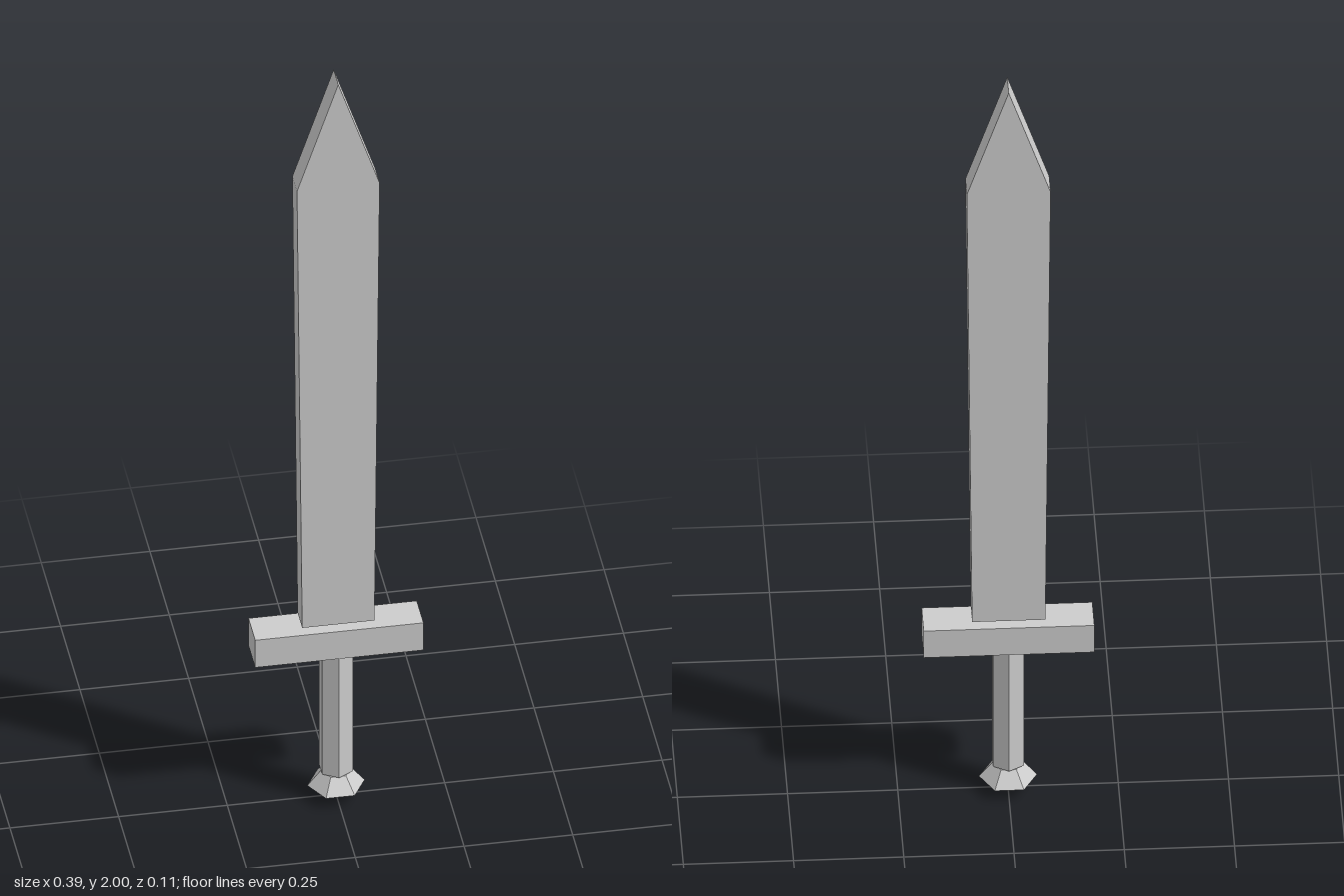
import * as THREE from 'three';

export function createModel() {
  const sword = new THREE.Group();
  sword.name = 'sword';
  const steel = new THREE.MeshStandardMaterial({ color: 0xcccccc, flatShading: true });
  steel.name = 'light grey steel';

  const add = (name, geometry, y = 0) => {
    const mesh = new THREE.Mesh(geometry, steel);
    mesh.name = name;
    mesh.position.y = y;
    sword.add(mesh);
    return mesh;
  };

  // Blade: flat slab, widening slightly towards the shoulders, then a point
  const outline = new THREE.Shape([
    [-0.083, 0.495], [0.083, 0.495], [0.095, 1.714], [0, 2], [-0.095, 1.714],
  ].map(([x, y]) => new THREE.Vector2(x, y)));
  const blade = new THREE.ExtrudeGeometry(outline, { depth: 0.06, bevelEnabled: false });
  blade.translate(0, 0, -0.03);
  add('blade', blade);

  // Crossguard: plain bar
  add('crossguard', new THREE.BoxGeometry(0.387, 0.076, 0.087), 0.446);

  // Grip: hexagonal rod with an edge facing front
  add('grip', new THREE.CylinderGeometry(0.041, 0.041, 0.334, 6), 0.241);

  // Pommel: hexagonal, flat side facing front, pointed underneath
  const profile = [[0, 0.004], [0.066, 0.032], [0.035, 0.07], [0, 0.07]]
    .map(([r, y]) => new THREE.Vector2(r, y));
  profile[0].y = 0;
  add('pommel', new THREE.LatheGeometry(profile, 6, Math.PI / 6));

  return sword;
}
